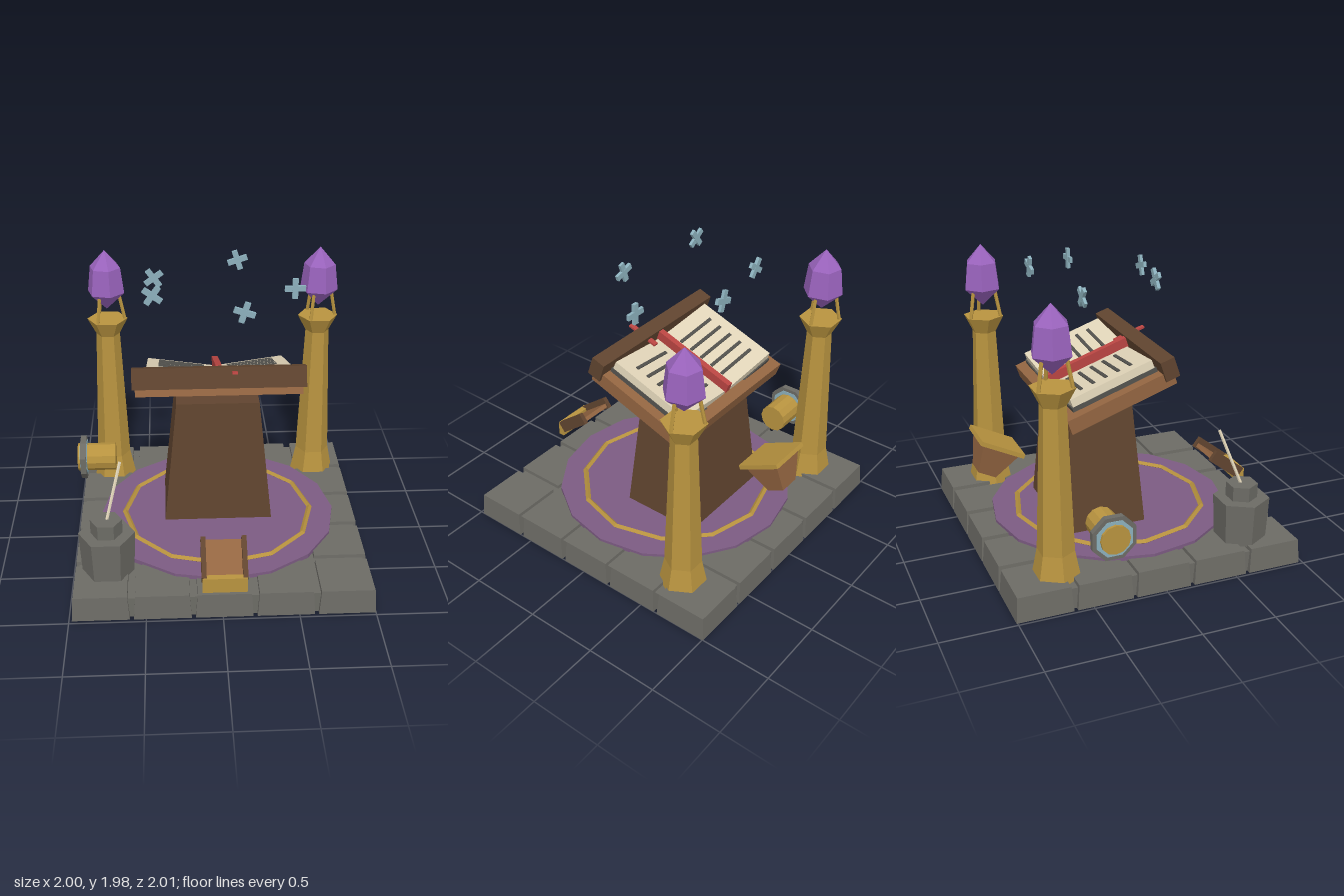
import * as THREE from 'three';

const mat = (name, color) => {
  const m = new THREE.MeshStandardMaterial({ color });
  m.name = name;
  return m;
};

export function createModel() {
  const stone = mat('stone', 0x6c6b65), darkWood = mat('darkWood', 0x60442f), wood = mat('wood', 0x936541);
  const gold = mat('gold', 0xb8933f), crystal = mat('crystal', 0x9a63bd), rug = mat('rug', 0x7c5b82);
  const paper = mat('paper', 0xe0d4b8), red = mat('red', 0xba4542), ice = mat('ice', 0x8cb0bc), ink = mat('ink', 0x504f4b);
  const model = new THREE.Group();

  // Faceted mesh helper
  const add = (parent, name, geo, material, x = 0, y = 0, z = 0) => {
    const flat = geo.index ? geo.toNonIndexed() : geo;
    flat.computeVertexNormals();
    const mesh = new THREE.Mesh(flat, material);
    mesh.name = name;
    mesh.position.set(x, y, z);
    parent.add(mesh);
    return mesh;
  };
  const group = (parent, name, x, y, z) => {
    const g = new THREE.Group();
    g.name = name;
    g.position.set(x, y, z);
    parent.add(g);
    return g;
  };
  const box = (w, h, d) => new THREE.BoxGeometry(w, h, d);
  const cyl = (top, bottom, h, n) => new THREE.CylinderGeometry(top, bottom, h, n);
  // Box whose top has a different footprint from its bottom
  const taper = (w0, d0, w1, d1, h) => {
    const g = box(w0, h, d0), p = g.attributes.position;
    for (let i = 0; i < p.count; i++) {
      if (p.getY(i) > 0) p.setXYZ(i, p.getX(i) * w1 / w0, p.getY(i), p.getZ(i) * d1 / d0);
    }
    return g;
  };
  // Thin rod between two points
  const rod = (parent, name, a, b, r, material) => {
    const from = new THREE.Vector3(...a), to = new THREE.Vector3(...b);
    const dir = to.clone().sub(from), mid = from.clone().add(to).multiplyScalar(0.5);
    const m = add(parent, name, cyl(r, r, dir.length(), 6), material, mid.x, mid.y, mid.z);
    m.quaternion.setFromUnitVectors(new THREE.Vector3(0, 1, 0), dir.normalize());
    return m;
  };

  // Paved floor
  const cx = 0.01, cz = -0.015;
  const floor = group(model, 'floor', cx, 0, cz);
  add(floor, 'slab', box(1.92, 0.145, 1.92), stone, 0, 0.0725, 0);
  for (let i = -2; i <= 2; i++) {
    for (let j = -2; j <= 2; j++) {
      add(floor, 'tile', taper(0.375, 0.375, 0.35, 0.35, 0.17), stone, i * 0.402, 0.085, j * 0.402);
    }
  }

  // Round rug with a gold ring
  add(model, 'rug', cyl(0.83, 0.83, 0.03, 16), rug, cx, 0.175, cz).rotation.y = Math.PI / 2;
  const ring = add(model, 'rugRing', new THREE.TorusGeometry(0.665, 0.019, 4, 12), gold, cx, 0.193, cz);
  ring.rotation.x = Math.PI / 2;

  // Pedestal and tilted desk
  add(model, 'pedestal', taper(0.755, 0.56, 0.57, 0.43, 0.89), darkWood, cx, 0.632, -0.175);
  const desk = group(model, 'desk', cx, 1.165, -0.13);
  desk.rotation.x = -0.333;
  add(desk, 'board', box(1.11, 0.1, 0.76), wood);
  add(desk, 'ledge', box(1.15, 0.14, 0.1), darkWood, 0, 0.07, 0.359);

  // Open book, both halves rising outwards
  for (const s of [-1, 1]) {
    const half = group(desk, 'bookHalf', s * 0.24, 0.11, -0.005);
    half.rotation.z = s * 0.13;
    add(half, 'pages', box(0.48, 0.055, 0.59), paper, 0, -0.0275, 0);
    add(half, 'cover', box(0.49, 0.03, 0.61), ink, 0, -0.07, 0);
    for (let i = -2; i <= 2; i++) {
      add(half, 'writing', box(0.32, 0.008, 0.022), ink, 0, 0.003, i * 0.09 - 0.005);
    }
  }
  add(desk, 'spineRibbon', box(0.042, 0.07, 0.61), red, 0, 0.11, -0.005);
  add(desk, 'bookmarkTail', box(0.036, 0.014, 0.23), red, 0.1, 0.107, 0.365);

  // Pillars carrying crystals
  for (const x of [-0.755, 0.77]) {
    const pillar = group(model, 'pillar', x, 0, -0.67);
    const profile = [[0, 0.145], [0.16, 0.145], [0.153, 0.18], [0.123, 0.33], [0.085, 1.31], [0.145, 1.425], [0, 1.425]];
    const column = new THREE.LatheGeometry(profile.map(p => new THREE.Vector2(...p)), 6);
    add(pillar, 'column', column, gold).rotation.y = Math.PI / 6;
    for (let k = 0; k < 3; k++) {
      const a = k * Math.PI * 2 / 3, c = Math.cos(a), s = Math.sin(a);
      rod(pillar, 'prong', [0.125 * c, 1.42, 0.125 * s], [0.08 * c, 1.66, 0.08 * s], 0.013, gold);
    }
    const gem = [[0, 1.5], [0.135, 1.63], [0.112, 1.815], [0, 1.94]];
    add(pillar, 'crystal', new THREE.LatheGeometry(gem.map(p => new THREE.Vector2(...p)), 6), crystal).rotation.y = 0.26;
  }

  // Stone inkpot with quill
  const pot = group(model, 'inkpot', -0.75, 0, 0.64);
  add(pot, 'potBody', cyl(0.187, 0.172, 0.3, 6), stone, 0, 0.305, 0).rotation.y = Math.PI / 6;
  add(pot, 'potNeck', cyl(0.105, 0.105, 0.11, 6), stone, 0, 0.5, 0).rotation.y = Math.PI / 6;
  rod(pot, 'quill', [0, 0.53, 0], [0.1, 0.91, -0.13], 0.011, paper);

  // Sloping rest at the front with a gold lip
  const rest = group(model, 'frontRest', cx, 0.374, 0.855);
  rest.rotation.x = 0.66;
  for (const s of [-1, 1]) add(rest, 'restRail', box(0.032, 0.085, 0.28), darkWood, s * 0.133, 0, 0);
  add(rest, 'restFloor', box(0.24, 0.03, 0.26), wood, 0, -0.015, 0);
  add(model, 'restLip', box(0.29, 0.105, 0.045), gold, cx, 0.267, 0.977);

  // Tilted bin behind the desk with a gold lid
  const bin = group(model, 'backBin', cx, 0.775, -0.815);
  bin.rotation.x = 0.46;
  add(bin, 'binLid', box(0.31, 0.03, 0.32), gold);
  add(bin, 'binBody', taper(0.15, 0.13, 0.26, 0.27, 0.21), wood, 0, -0.115, 0);

  // Gold barrel with an eight-sided end plate on the side
  const barrel = group(model, 'sideBarrel', -0.862, 0.455, -0.36);
  barrel.rotation.z = Math.PI / 2;
  add(barrel, 'barrelBody', cyl(0.1, 0.1, 0.275, 12), gold);
  add(barrel, 'endPlate', cyl(0.158, 0.158, 0.042, 8), stone, 0, 0.094, 0).rotation.y = Math.PI / 8;
  add(barrel, 'endInlay', cyl(0.13, 0.13, 0.05, 8), ice, 0, 0.094, 0).rotation.y = Math.PI / 8;

  // Floating crosses in a ring above the book
  const spots = [[0.53, 1.845, -0.11], [0.165, 1.845, 0.29], [-0.415, 1.91, 0.14], [-0.41, 1.845, -0.35], [0.17, 1.91, -0.505]];
  spots.forEach((p, k) => {
    const cross = group(model, 'floatingCross', ...p);
    cross.rotation.z = k * Math.PI * 0.4;
    add(cross, 'crossBar', box(0.14, 0.038, 0.02), ice);
    add(cross, 'crossPost', box(0.038, 0.14, 0.022), ice);
  });

  return model;
}
